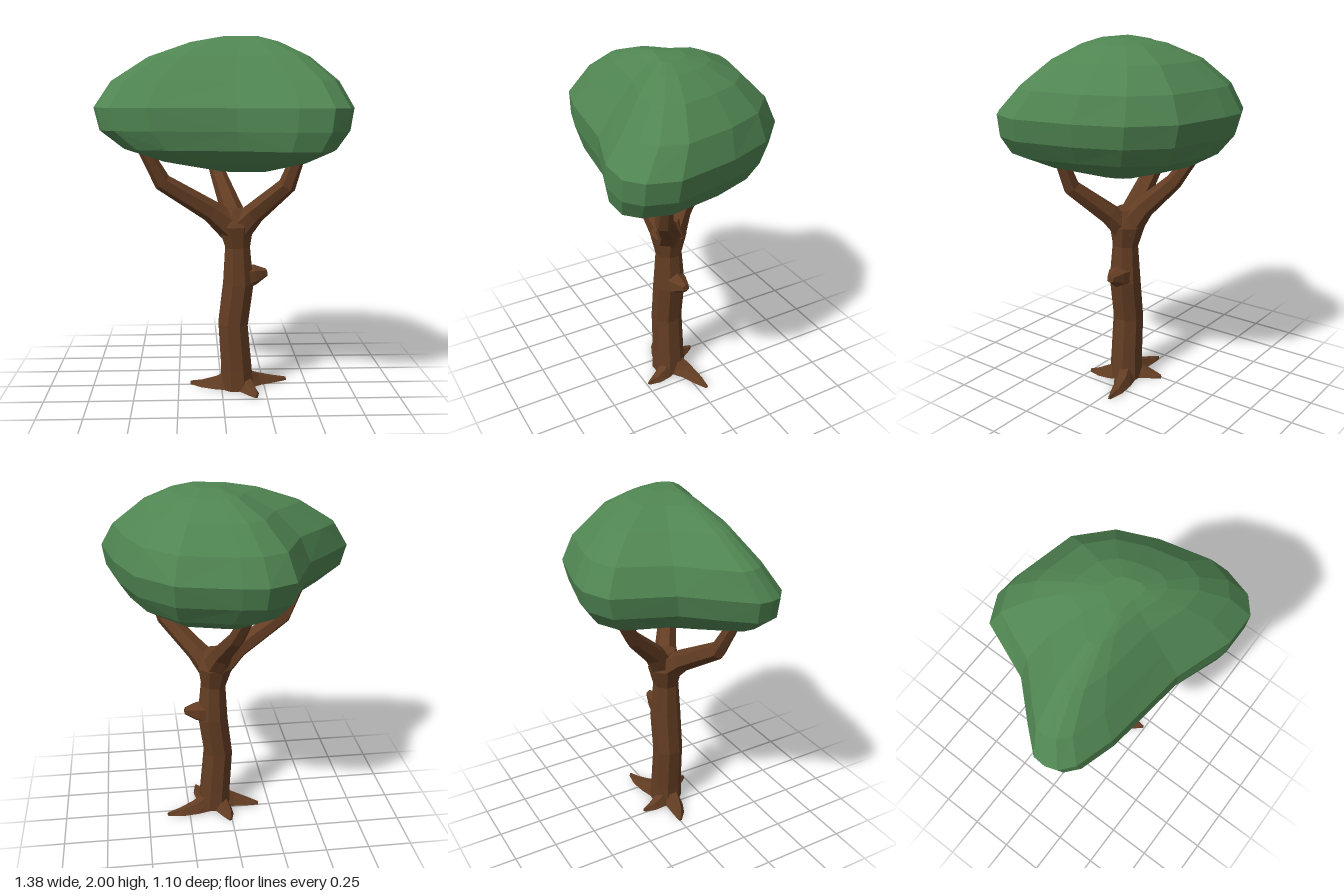
import * as THREE from 'three';

const bark = new THREE.MeshStandardMaterial({ color: 0x633d23, flatShading: true });
bark.name = 'bark brown';
const leaf = new THREE.MeshStandardMaterial({ color: 0x508552, flatShading: true });
leaf.name = 'leaf green';

// Faceted skin over a stack of equal-length loops, closed at both ends
function loft(name, rings, material) {
  const pos = [];
  const tri = (...pts) => pts.forEach((p) => pos.push(p.x, p.y, p.z));
  const middle = (ring) => ring.reduce((s, p) => s.add(p), new THREE.Vector3()).divideScalar(ring.length);
  const n = rings[0].length;
  const first = rings[0], last = rings[rings.length - 1];
  const start = middle(first), end = middle(last);
  for (let i = 0; i < n; i++) {
    const j = (i + 1) % n;
    for (let k = 0; k < rings.length - 1; k++) {
      const a = rings[k], b = rings[k + 1];
      if ((i + k) % 2) {
        tri(a[i], a[j], b[j]);
        tri(a[i], b[j], b[i]);
      } else {
        tri(a[i], a[j], b[i]);
        tri(a[j], b[j], b[i]);
      }
    }
    tri(first[j], first[i], start);
    tri(last[i], last[j], end);
  }
  const geometry = new THREE.BufferGeometry();
  geometry.setAttribute('position', new THREE.Float32BufferAttribute(pos, 3));
  geometry.computeVertexNormals();
  const mesh = new THREE.Mesh(geometry, material);
  mesh.name = name;
  return mesh;
}

// Tapered limb through nodes [x, y, z, radius]
function limb(name, nodes, sides) {
  const pts = nodes.map((p) => new THREE.Vector3(p[0], p[1], p[2]));
  const rings = pts.map((p, k) => {
    const t = pts[Math.min(k + 1, pts.length - 1)].clone().sub(pts[Math.max(k - 1, 0)]).normalize();
    const u = new THREE.Vector3(0, 0, 1).addScaledVector(t, -t.z).normalize();
    const v = t.clone().cross(u);
    return Array.from({ length: sides }, (_, i) => {
      const a = ((i + 0.5) / sides) * Math.PI * 2, r = nodes[k][3];
      return p.clone().addScaledVector(u, Math.cos(a) * r).addScaledVector(v, Math.sin(a) * r);
    });
  });
  return loft(name, rings, bark);
}

// Flat root that narrows from the trunk foot to a point on the ground
function root(tip) {
  const foot = new THREE.Vector3(0.09, 0, 0.05);
  const dir = new THREE.Vector3(tip[0], 0, tip[1]).sub(foot);
  const side = new THREE.Vector3(0, 1, 0).cross(dir).normalize();
  const stations = [[0.1, 0.07, 0.1], [0.45, 0.05, 0.055], [0.75, 0.035, 0.03], [1, 0.008, 0.018]];
  const rings = stations.map(([t, w, h]) => {
    const c = foot.clone().addScaledVector(dir, t).addScaledVector(side, Math.sin(t * Math.PI) * 0.02);
    const at = (s, y) => c.clone().addScaledVector(side, s * w).setY(y);
    return [at(1, 0), at(0.45, h), at(-0.45, h), at(-1, 0)];
  });
  return loft('root', rings, bark);
}

// Crown: one plan outline fitted to the extents of each level
function crown() {
  const outline = [
    [-0.13, -0.55], [0.0, -0.54], [0.33, -0.46], [0.52, -0.27], [0.62, -0.02], [0.69, 0.31],
    [0.64, 0.47], [0.55, 0.545], [0.37, 0.545], [0.06, 0.44], [-0.4, 0.38], [-0.6, 0.32],
    [-0.67, 0.26], [-0.69, 0.2], [-0.685, 0.13], [-0.58, 0.01], [-0.41, -0.17], [-0.28, -0.48],
  ].reverse();
  // y, then x and z extents
  const levels = [
    [1.26, 0.0, 0.25, -0.08, 0.1],
    [1.33, -0.33, 0.46, -0.33, 0.4],
    [1.4, -0.53, 0.6, -0.45, 0.52],
    [1.5, -0.66, 0.67, -0.52, 0.545],
    [1.62, -0.69, 0.69, -0.55, 0.545],
    [1.76, -0.6, 0.62, -0.48, 0.43],
    [1.89, -0.4, 0.47, -0.34, 0.31],
    [1.97, -0.17, 0.31, -0.17, 0.2],
    [2.0, 0.0, 0.2, -0.03, 0.13],
  ];
  const rings = levels.map(([y, x0, x1, z0, z1]) => outline.map(([x, z]) => new THREE.Vector3(
    THREE.MathUtils.mapLinear(x, -0.69, 0.69, x0, x1), y,
    THREE.MathUtils.mapLinear(z, -0.55, 0.545, z0, z1))));
  return loft('leafCrown', rings, leaf);
}

export function createModel() {
  const tree = new THREE.Group();
  tree.name = 'tree';

  // Trunk, swelling where the branches part
  tree.add(limb('trunk', [
    [0.09, 0, 0.05, 0.1], [0.085, 0.12, 0.05, 0.094], [0.065, 0.38, 0.05, 0.09], [0.095, 0.62, 0.05, 0.092],
    [0.09, 0.83, 0.05, 0.075], [0.08, 0.95, 0.045, 0.105], [0.085, 1.05, 0.045, 0.06],
  ], 8));

  // Three bent branches
  tree.add(limb('rightBranch', [
    [0.07, 0.93, 0.05, 0.085], [-0.06, 1.04, 0.08, 0.062], [-0.33, 1.21, 0.13, 0.05], [-0.43, 1.4, 0.16, 0.035],
  ], 6));
  tree.add(limb('leftBranch', [
    [0.09, 0.93, 0.05, 0.085], [0.18, 1.03, 0.1, 0.062], [0.35, 1.2, 0.22, 0.05], [0.42, 1.4, 0.245, 0.035],
  ], 6));
  tree.add(limb('backBranch', [
    [0.09, 0.93, 0.04, 0.085], [0.05, 1.06, -0.05, 0.062], [-0.01, 1.22, -0.21, 0.047], [-0.06, 1.38, -0.31, 0.036],
  ], 6));

  // Stub of a lost branch
  tree.add(limb('knot', [[0.1, 0.65, 0.045, 0.08], [0.19, 0.665, 0.04, 0.06], [0.26, 0.675, 0.03, 0.022]], 6));

  // Roots
  [[0.385, -0.05], [-0.18, 0], [0.01, -0.15], [0.19, 0.24]].forEach((tip) => tree.add(root(tip)));

  tree.add(crown());
  return tree;
}
